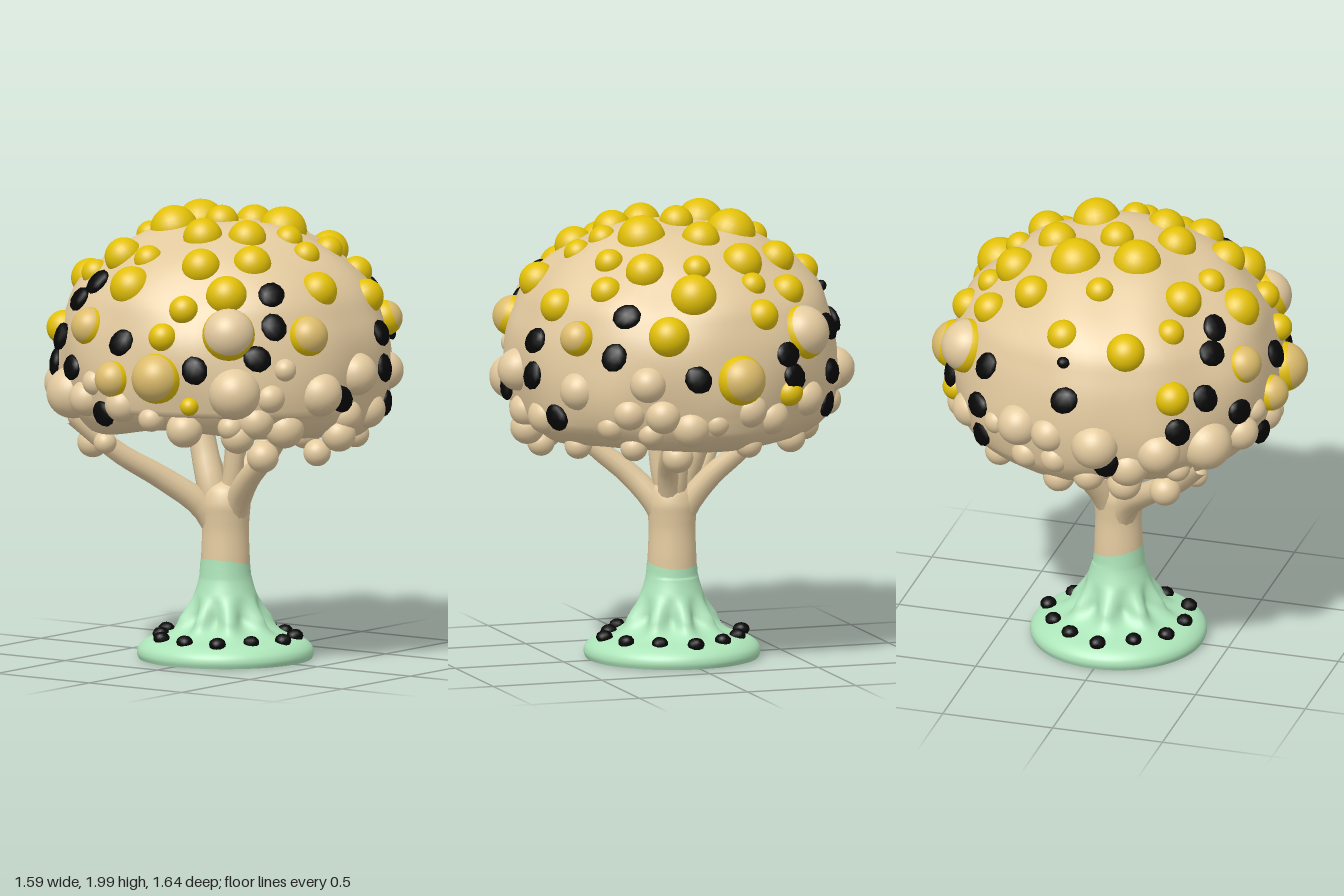
import * as THREE from 'three';
import { mergeVertices } from 'three/addons/utils/BufferGeometryUtils.js';

const mat = (name, color) => {
  const m = new THREE.MeshStandardMaterial({ color });
  m.name = name;
  return m;
};

// Crown profile: radius, height, from the rim up to the top
const CROWN = [[0.53, 1.01], [0.61, 1.02], [0.685, 1.1], [0.718, 1.2], [0.73, 1.32], [0.718, 1.45],
  [0.686, 1.55], [0.632, 1.65], [0.495, 1.78], [0.35, 1.865], [0.2, 1.91], [0, 1.93]];
const HOLLOW = [[0, 1.45], [0.25, 1.41], [0.42, 1.28], [0.5, 1.12], [0.53, 1.01]];

// Linear lookup in the crown profile, by radius (upper half) or height
function lookup(v, from, to) {
  const pts = from === 0 ? CROWN.slice(4) : CROWN.slice(1);
  for (let i = 0; i < pts.length - 1; i++) {
    const a = pts[i], b = pts[i + 1], t = (v - a[from]) / (b[from] - a[from]);
    if (t >= 0 && t <= 1) return a[to] + (b[to] - a[to]) * t;
  }
  return pts[0][to];
}

// Point on the crown in the direction of x, z; height found from the radius unless given
function onCrown(x, z, y) {
  const r = Math.hypot(x, z);
  if (y === undefined) return new THREE.Vector3(x, lookup(Math.min(r, 0.729), 0, 1), z);
  const k = lookup(y, 1, 0) / r;
  return new THREE.Vector3(x * k, y, z * k);
}
const outward = (p) => p.clone().sub(new THREE.Vector3(0, 1.2, 0)).normalize();

// Wavy lower edge shared by the crown and its hollow, arched up at the front
const waveRim = (v) => {
  const a = Math.atan2(v.x, v.z);
  if (v.y < 1.13) v.y += 0.02 * v.z + 0.01 * Math.sin(a * 5 + 1.5) + 0.05 * Math.max(0, Math.cos(a - 0.4)) ** 6;
};

// Smooth turned surface, reshaped by a rule on each vertex
function turned(points, segments, rule) {
  const g = new THREE.LatheGeometry(points, segments);
  g.deleteAttribute('uv');
  g.deleteAttribute('normal');
  const p = g.attributes.position, v = new THREE.Vector3();
  for (let i = 0; i < p.count; i++) {
    v.fromBufferAttribute(p, i);
    if (rule) rule(v);
    p.setXYZ(i, v.x, v.y, v.z);
  }
  const merged = mergeVertices(g, 1e-5);
  merged.computeVertexNormals();
  return merged;
}
const spline = (pts, n) =>
  new THREE.SplineCurve(pts.map((p) => new THREE.Vector2(...p))).getPoints(n).map((p) => p.set(Math.max(p.x, 0), p.y));

// Branch tapering along a curve
function branch(pts, r0, r1) {
  const curve = new THREE.CatmullRomCurve3(pts.map((p) => new THREE.Vector3(...p)));
  const n = 16, sides = 12;
  const g = new THREE.TubeGeometry(curve, n, 1, sides);
  const p = g.attributes.position, v = new THREE.Vector3();
  for (let i = 0; i < p.count; i++) {
    const t = Math.floor(i / (sides + 1)) / n, c = curve.getPointAt(t);
    v.fromBufferAttribute(p, i).sub(c).multiplyScalar(r0 + (r1 - r0) * t).add(c);
    p.setXYZ(i, v.x, v.y, v.z);
  }
  return g;
}

export function createModel() {
  const model = new THREE.Group();
  const cream = mat('cream', 0xe3ca9f), yellow = mat('yellow', 0xe2c006), gold = mat('paleGold', 0xdcbc6c);
  const green = mat('mintGreen', 0xade5b9), black = mat('black', 0x060606);
  const add = (name, geometry, material, parent = model) => {
    const m = new THREE.Mesh(geometry, material);
    m.name = name;
    parent.add(m);
    return m;
  };
  const group = (name) => {
    const g = new THREE.Group();
    g.name = name;
    model.add(g);
    return g;
  };
  let seed = 7;
  const rand = () => (seed = (seed * 16807) % 2147483647) / 2147483647;

  // Round foot with root ridges climbing to the trunk
  const foot = [[0.378, 0], [0.386, 0.025], [0.375, 0.055], [0.335, 0.083], [0.25, 0.108], [0.195, 0.15],
    [0.16, 0.22], [0.13, 0.3], [0.114, 0.36], [0.109, 0.42]];
  add('rootBase', turned(spline(foot, 44), 84, (v) => {
    const a = Math.atan2(v.x, v.z);
    const ridge = Math.max(0, 1 - Math.abs(v.y - 0.18) / 0.1);
    const k = 1 + 0.17 * ridge * Math.cos(8 * a + 0.5 * Math.sin(2 * a));
    if (v.y > 0.37) v.y += 0.2 * v.z;
    v.x *= k;
    v.z *= k;
  }), green);
  add('baseUnderside', new THREE.CircleGeometry(0.379, 64).rotateX(Math.PI / 2), black);

  // Black stones around the foot
  const pebble = new THREE.IcosahedronGeometry(1, 1);
  const stones = group('baseStones');
  for (let i = 0; i < 12; i++) {
    const a = (i / 12) * Math.PI * 2, r = 0.3 + 0.02 * Math.sin(i * 2.3);
    const s = add('baseStone', pebble, black, stones);
    s.position.set(r * Math.sin(a), 0.1, r * Math.cos(a));
    s.scale.set(0.038, 0.03, 0.036);
    s.rotation.y = i;
  }

  // Trunk and branches
  add('trunk', turned(spline([[0.107, 0.37], [0.106, 0.45], [0.102, 0.56], [0.106, 0.63], [0.108, 0.69], [0.08, 0.76], [0, 0.79]], 24), 32), cream);
  const branches = group('branches');
  [
    [[[0, 0.5, 0], [-0.07, 0.66, 0.06], [-0.19, 0.79, 0.19], [-0.31, 0.91, 0.35], [-0.45, 1.08, 0.51]], 0.064, 0.038],
    [[[0, 0.5, 0], [0.06, 0.66, 0.01], [0.17, 0.8, 0.07], [0.31, 0.92, 0.12], [0.48, 1.1, 0.18]], 0.064, 0.035],
    [[[0, 0.5, 0], [-0.05, 0.66, -0.04], [-0.14, 0.8, -0.1], [-0.26, 0.93, -0.18], [-0.42, 1.14, -0.27]], 0.06, 0.032],
    [[[0, 0.55, 0], [-0.05, 0.75, 0.03], [-0.11, 0.92, 0.01], [-0.14, 1.05, 0], [-0.19, 1.4, -0.02]], 0.072, 0.045],
    [[[0, 0.6, 0], [0, 0.8, -0.06], [0, 1, -0.08], [0.01, 1.42, -0.1]], 0.055, 0.033],
    [[[0, 0.6, 0], [0.05, 0.82, 0.01], [0.07, 1, 0.02], [0.12, 1.42, 0.04]], 0.05, 0.028],
    [[[0, 0.6, 0], [0.05, 0.82, -0.09], [0.08, 0.93, -0.2], [0.12, 1.2, -0.42]], 0.055, 0.03],
  ].forEach(([pts, r0, r1]) => add('branch', branch(pts, r0, r1), cream, branches));

  // Hollow crown with a gently lumpy skin
  add('crown', turned(spline(CROWN, 44), 72, (v) => {
    const w = 0.009 * Math.sin(11 * v.x + 2) * Math.sin(12 * v.y) + 0.007 * Math.sin(15 * v.z + 7 * v.x);
    v.addScaledVector(outward(v), w);
    waveRim(v);
  }), cream);
  add('crownHollow', turned(spline(HOLLOW, 20), 48, waveRim), black);

  const ball = new THREE.SphereGeometry(1, 24, 16);
  const bumps = group('crownBumps');
  const taken = []; // places to keep clear of small bumps
  const bump = (name, p, r, material, sink, geometry = ball) => {
    const m = add(name, geometry, material, bumps);
    const n = outward(p);
    m.position.copy(p).addScaledVector(n, -sink * r);
    m.quaternion.setFromUnitVectors(new THREE.Vector3(0, 1, 0), n);
    m.scale.setScalar(r);
    taken.push([p, r]);
  };

  // Yellow fruit: x, z, radius
  [[-.2, -.63, .07], [-.19, -.53, .055], [.1, -.58, .095], [.24, -.65, .085], [-.37, -.48, .07], [-.18, -.42, .085],
    [.05, -.47, .058], [.27, -.41, .08], [.44, -.38, .065], [-.39, -.28, .075], [-.04, -.27, .08], [.38, -.25, .06],
    [-.23, -.13, .105], [.2, -.16, .1], [-.02, 0, .07], [.33, -.02, .06], [.44, 0, .058], [.61, -.22, .075]]
    .concat([[-.58, -.08, .068], [-.39, .03, .058], [-.18, .14, .1], [.23, .15, .08], [.59, .11, .08], [-.59, .21, .08],
      [.06, .25, .082], [.36, .29, .08], [-.44, .37, .058], [-.28, .38, .08], [-.58, .42, .072], [-.09, .45, .06],
      [.19, .44, .08], [.36, .48, .085], [-.09, .58, .09], [.22, .61, .06]])
    .forEach(([x, z, r]) => bump('yellowFruit', onCrown(x, z), r * 1.06, yellow, 0.17));
  // Low yellow fruit: x, z, height, radius
  [[.16, .68, 1.5, .062], [.28, .64, 1.2, .04], [-.31, -.63, 1.25, .06]]
    .forEach(([x, z, y, r]) => bump('yellowFruit', onCrown(x, z, y), r, yellow, 0.1));

  // Half-ripe fruit, paler at the tip: x, z, y, radius, tip colour, tip angle
  [[.15, .72, 1.32, .11, gold, 1.2], [-.08, .7, 1.3, .08, gold, 1.25], [-.25, .62, 1.51, .085, gold, 1.2],
    [.65, .27, 1.5, .09, gold, 1.15], [.58, -.4, 1.5, .078, gold, 1.0], [-.07, -.75, 1.33, .11, gold, 1.0],
    [.43, .56, 1.52, .115, cream, 1.2], [-.41, -.57, 1.5, .12, cream, 1.2]]
    .forEach(([x, z, y, r, tip, angle]) => {
      const p = onCrown(x, z, y);
      bump('fruitTip', p, r, tip, 0.1, new THREE.SphereGeometry(1, 28, 10, 0, Math.PI * 2, 0, angle));
      bump('fruitSide', p, r, yellow, 0.1, new THREE.SphereGeometry(1, 28, 12, 0, Math.PI * 2, angle, Math.PI - angle));
    });

  // Black spots: x, z, y, and size where it is not 1
  const spots = group('crownSpots');
  [[-.39, .54, 1.6], [-.31, .54, 1.68], [-.47, .52, 1.43], [-.33, .62, 1.32], [-.03, .7, 1.46], [.31, .64, 1.36],
    [-.14, .66, 1.14], [.49, .34, 1.67], [.55, .4, 1.54], [.52, .48, 1.41], [-.74, -.03, 1.45], [-.69, .15, 1.16],
    [.7, .12, 1.21], [.68, -.19, 1.46], [.68, -.19, 1.31], [.62, -.3, 1.14], [.39, -.53, 1.6], [.46, -.56, 1.43],
    [.13, -.72, 1.34], [-.29, -.64, 1.42], [-.57, -.43, 1.49], [-.33, -.65, 1.32], [-.55, -.45, 1.3], [-.55, -.45, 1.16],
    [-.57, .43, 1.3], [-.66, -.05, 1.6, 0.45]]
    .forEach(([x, z, y, size = 1], i) => {
      const p = onCrown(x, z, y), n = outward(p);
      const s = add('blackSpot', pebble, black, spots);
      s.position.copy(p).addScaledVector(n, 0.012);
      s.lookAt(p.clone().addScaledVector(n, 2));
      s.rotateZ(i);
      s.scale.set(0.065 * size, 0.058 * size, 0.028);
      taken.push([p, 0.055]);
    });

  // Large cream bumps: x, z, y, radius
  [[.43, .52, 1.26, .115], [-.44, .53, 1.19, .115], [-.6, .36, 1.2, .1], [-.7, .1, 1.24, .105], [.72, 0, 1.31, .095],
    [.69, .22, 1.24, .1], [-.66, -.26, 1.28, .095], [.33, -.63, 1.32, .08], [.6, .38, 1.36, .05], [-.28, .64, 1.19, .08]]
    .forEach(([x, z, y, r]) => bump('creamBump', onCrown(x, z, y), r, cream, 0.25));

  // Small cream bumps crowding the lower crown wherever there is room
  for (let i = 0; i < 120; i++) {
    const a = i * 2.39996, r = 0.055 + 0.035 * rand();
    const p = onCrown(Math.sin(a), Math.cos(a), 1.07 + 0.22 * rand());
    if (taken.every(([q, s]) => q.distanceTo(p) > s + 0.5 * r)) bump('creamBump', p, r, cream, 0.4);
  }

  // Drops hanging under the rim: x, z, y, radius
  [[-.46, .35, .95, .068], [-.32, .45, .97, .05], [.46, .35, .96, .07], [.57, .1, .96, .06], [.12, -.42, .95, .068],
    [.52, -.25, 1, .06], [-.57, -.1, 1.01, .07], [-.4, -.42, 1.01, .065], [.35, -.5, 1.02, .06],
    [-.58, .2, 1.02, .075], [.42, .48, 1.06, .075], [-.15, -.58, 1.02, .06], [.65, .05, 1.04, .075], [-.62, .05, 1.06, .07]]
    .forEach(([x, z, y, r]) => bump('rimDrop', new THREE.Vector3(x, y, z), r, cream, 0));

  return model;
}
